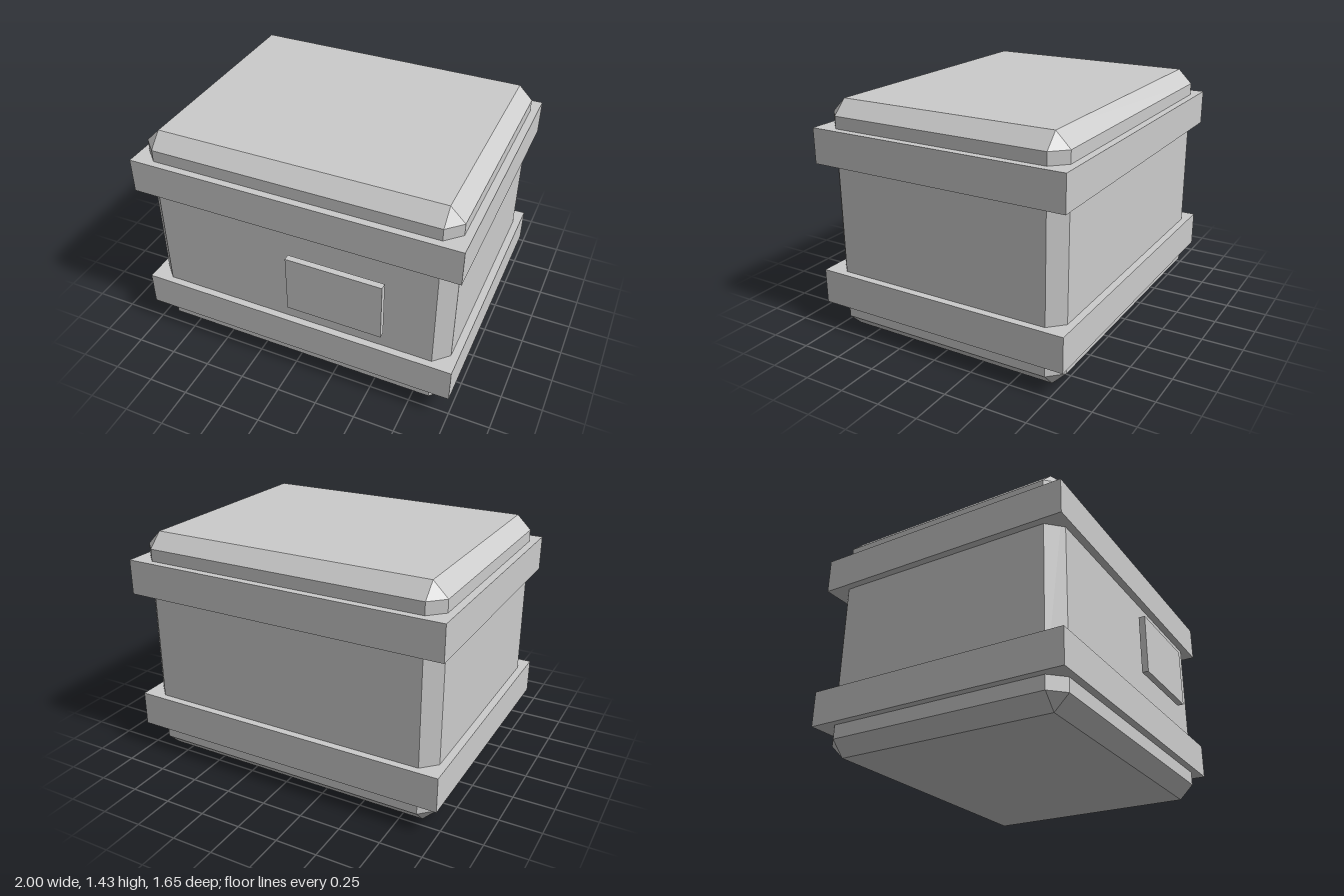
import * as THREE from 'three';
import { ConvexGeometry } from 'three/addons/geometries/ConvexGeometry.js';

// Box with every edge cut at 45 degrees and triangular corners
function chamferedBox(w, h, d, c) {
  const points = [];
  for (const sx of [-1, 1]) for (const sy of [-1, 1]) for (const sz of [-1, 1]) {
    const x = w / 2, y = h / 2, z = d / 2;
    points.push(
      new THREE.Vector3(sx * x, sy * (y - c), sz * (z - c)),
      new THREE.Vector3(sx * (x - c), sy * y, sz * (z - c)),
      new THREE.Vector3(sx * (x - c), sy * (y - c), sz * z)
    );
  }
  return new ConvexGeometry(points);
}

export function createModel() {
  const group = new THREE.Group();
  const grey = new THREE.MeshStandardMaterial({ color: 0xcccccc });
  grey.name = 'plainGrey';

  const add = (name, geometry, x, y, z) => {
    const mesh = new THREE.Mesh(geometry, grey);
    mesh.name = name;
    mesh.position.set(x, y, z);
    group.add(mesh);
  };

  // Crate body, set slightly back to leave room for the front plate
  const bodyZ = -0.019;
  add('body', chamferedBox(1.91, 1.43, 1.526, 0.087), 0, 0.715, bodyZ);

  // Two straps around the body
  const strap = new THREE.BoxGeometry(2, 0.214, 1.614);
  add('lowerBand', strap, 0, 0.278, bodyZ);
  add('upperBand', strap, 0, 1.162, bodyZ);

  // Panel standing just off the front face
  add('frontPlate', new THREE.BoxGeometry(0.584, 0.37, 0.039), 0.292, 0.72, 0.8065);

  return group;
}
